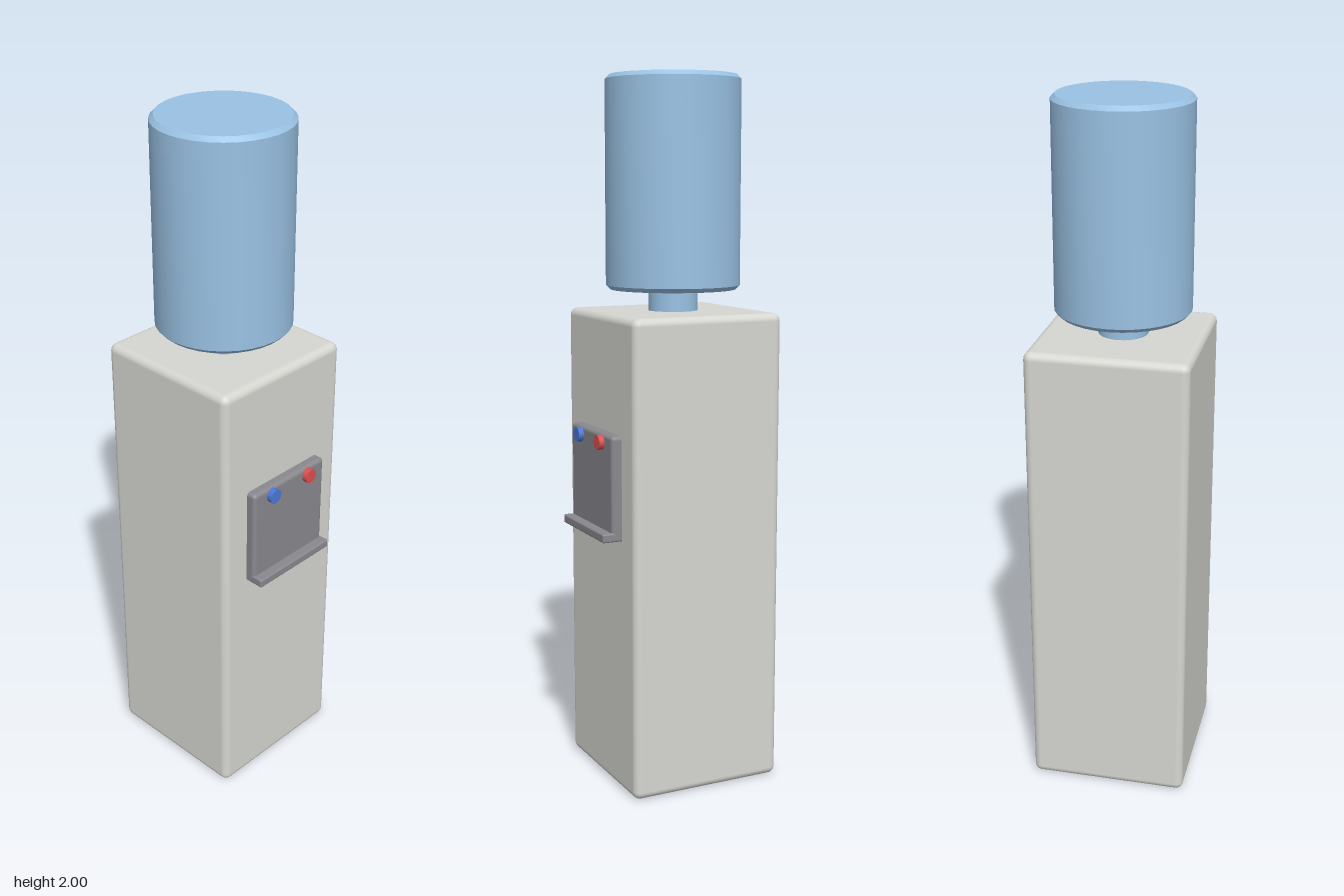
import * as THREE from 'three';
import { RoundedBoxGeometry } from 'three/addons/geometries/RoundedBoxGeometry.js';
import { toCreasedNormals } from 'three/addons/utils/BufferGeometryUtils.js';

const material = (name, color) => {
  const m = new THREE.MeshStandardMaterial({ color });
  m.name = name;
  return m;
};

export function createModel() {
  const model = new THREE.Group();
  model.name = 'waterCooler';

  const shell = material('light grey', 0xd6d6d1);
  const grey = material('dark grey', 0x88888e);
  const water = material('bottle blue', 0x9ac2e4);
  const blue = material('cold blue', 0x4a78d6);
  const red = material('hot red', 0xdc5050);

  const add = (name, geometry, mat, x, y, z) => {
    const mesh = new THREE.Mesh(geometry, mat);
    mesh.name = name;
    mesh.position.set(x, y, z);
    model.add(mesh);
    return mesh;
  };

  // Rounded box given by its x width and its y and z ranges
  const box = (name, width, y0, y1, z0, z1, radius, mat) =>
    add(name, new RoundedBoxGeometry(width, y1 - y0, z1 - z0, 3, radius), mat,
      0, (y0 + y1) / 2, (z0 + z1) / 2);

  // Cabinet, dispenser panel and drip tray
  box('cabinet', 0.454, 0, 1.35, -0.257, 0.197, 0.022, shell);
  box('dispenserPanel', 0.284, 0.74, 1.025, 0.17, 0.226, 0.012, grey);
  box('dripTray', 0.284, 0.73, 0.755, 0.17, 0.254, 0.005, grey);

  // Taps
  for (const [name, x, mat] of [['coldTap', -0.072, blue], ['hotTap', 0.072, red]]) {
    const tap = add(name, new THREE.CylinderGeometry(0.021, 0.021, 0.026, 16), mat, x, 1, 0.228);
    tap.rotation.x = Math.PI / 2;
  }

  // Upturned bottle with bevelled rims, and its neck
  const profile = [[0, 1.41], [0.178, 1.41], [0.19, 1.422], [0.19, 1.988], [0.178, 2], [0, 2]]
    .map(([r, y]) => new THREE.Vector2(r, y));
  add('bottle', toCreasedNormals(new THREE.LatheGeometry(profile, 32), 0.5), water, 0, 0, -0.03);
  add('bottleNeck', new THREE.CylinderGeometry(0.07, 0.07, 0.08, 24), water, 0, 1.38, -0.03);

  return model;
}
